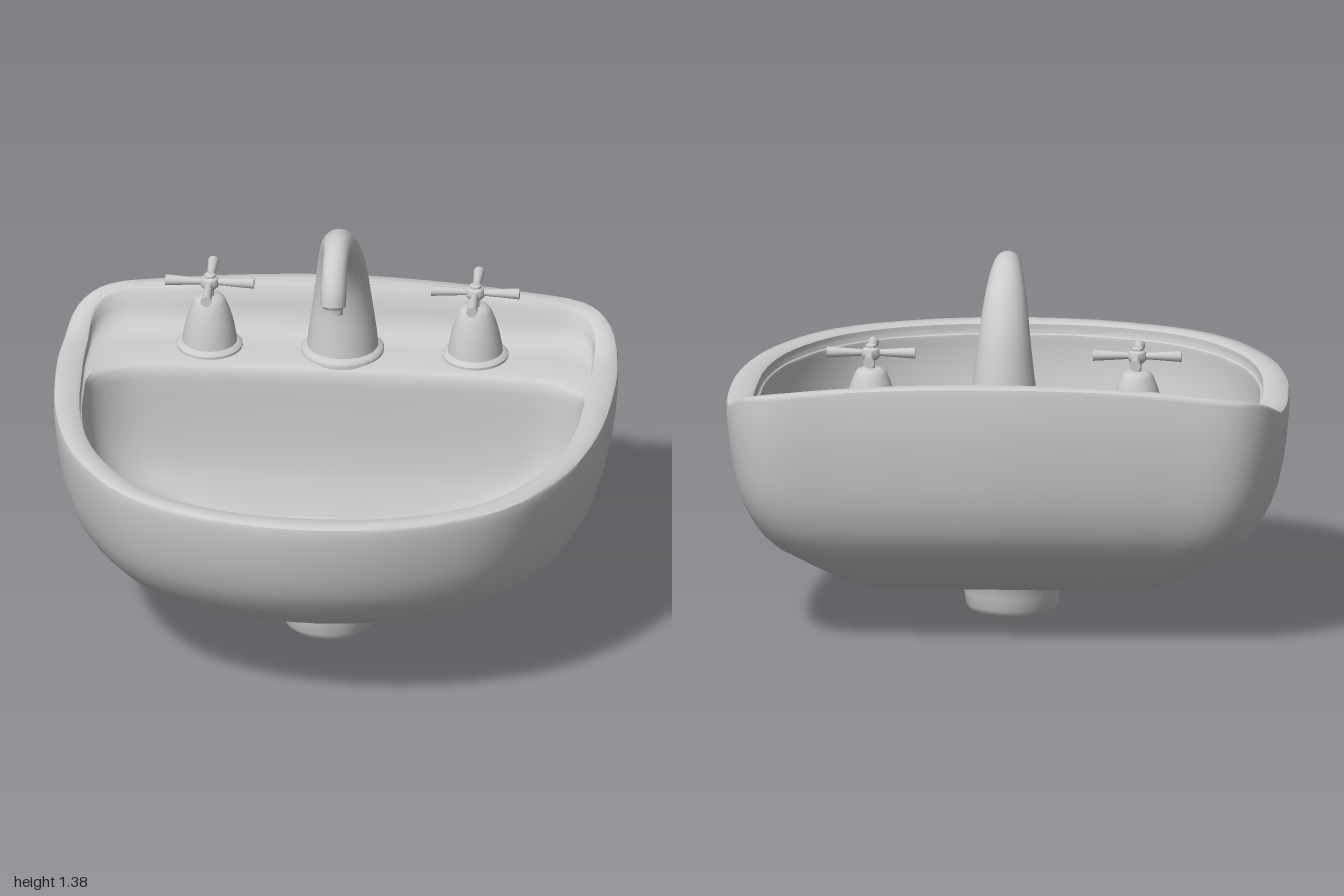
import * as THREE from 'three';
import { toCreasedNormals } from 'three/addons/utils/BufferGeometryUtils.js';

const material = new THREE.MeshStandardMaterial({ color: 0xcccccc });
const V = (x, y, z) => new THREE.Vector3(x, y, z);
const SAMPLES = 88;

function add(parent, name, geometry, x = 0, y = 0, z = 0) {
  const mesh = new THREE.Mesh(geometry, material);
  mesh.name = name;
  mesh.position.set(x, y, z);
  parent.add(mesh);
  return mesh;
}

// Skin a list of closed rings that all have the same number of points
function loft(rings, crease = 0.7) {
  const n = rings[0].length, index = [];
  for (let r = 0; r < rings.length - 1; r++) {
    for (let i = 0; i < n; i++) {
      const a = r * n + i, a2 = r * n + (i + 1) % n, b = a + n, b2 = a2 + n;
      index.push(a, b2, b, a, a2, b2);
    }
  }
  const geometry = new THREE.BufferGeometry().setFromPoints(rings.flat());
  geometry.setIndex(index);
  return toCreasedNormals(geometry, crease);
}

// Half outline [x, z] from back to front, mirrored and smoothed to a closed loop
function outline(half) {
  const pts = half.map(([x, z]) => V(x, 0, z));
  for (let i = half.length - 2; i > 0; i--) pts.push(V(-half[i][0], 0, half[i][1]));
  const curve = new THREE.CatmullRomCurve3(pts, true);
  return Array.from({ length: SAMPLES }, (_, i) => curve.getPoint(i / SAMPLES));
}

const drainZ = -0.07;
const circle = (r, y) => Array.from({ length: SAMPLES }, (_, i) => {
  const t = i / SAMPLES * Math.PI * 2;
  return V(r * Math.sin(t), y, drainZ - r * Math.cos(t));
});

// The rim sweeps up towards the middle of the back
const raise = p => 0.14 * (1 - 0.5 * p.x * p.x) * THREE.MathUtils.smoothstep(-p.z, 0.52, 0.8);

// Blend two outlines at height y, with a share of the raised back
const blend = (a, b, t, y, lift = 0) => a.map((p, i) => {
  const q = p.clone().lerp(b[i], t);
  q.y = y + lift * raise(q);
  return q;
});

function basinGeometry() {
  const rim = outline([[0, -0.85], [0.3, -0.84], [0.6, -0.825], [0.85, -0.8], [0.955, -0.7], [0.995, -0.5],
    [1, -0.3], [0.97, 0.04], [0.88, 0.34], [0.68, 0.63], [0.36, 0.79], [0, 0.845]]);
  const underside = outline([[0, -0.48], [0.2, -0.48], [0.38, -0.48], [0.48, -0.46], [0.52, -0.42], [0.53, -0.34],
    [0.52, -0.22], [0.46, -0.08], [0.38, 0], [0.25, 0.07], [0.12, 0.11], [0, 0.12]]);
  const inner = outline([[0, -0.75], [0.3, -0.748], [0.6, -0.745], [0.83, -0.735], [0.89, -0.67], [0.905, -0.5],
    [0.905, -0.3], [0.88, 0.05], [0.8, 0.32], [0.62, 0.57], [0.35, 0.71], [0, 0.755]]);
  const lip = outline([[0, -0.455], [0.3, -0.455], [0.6, -0.445], [0.76, -0.42], [0.85, -0.36], [0.885, -0.3],
    [0.89, -0.22], [0.87, 0.05], [0.79, 0.315], [0.613, 0.563], [0.346, 0.702], [0, 0.747]]);
  const floor = outline([[0, -0.38], [0.18, -0.38], [0.34, -0.37], [0.42, -0.35], [0.46, -0.31], [0.47, -0.25],
    [0.46, -0.15], [0.42, -0.02], [0.35, 0.06], [0.24, 0.11], [0.12, 0.14], [0, 0.15]]);
  // Shared wall curve: [height fraction, outward fraction]
  const wall = [[0, 0], [0.05, 0.17], [0.125, 0.36], [0.24, 0.63], [0.31, 0.74], [0.39, 0.82], [0.47, 0.88],
    [0.56, 0.925], [0.67, 0.96], [0.8, 0.985], [0.92, 1]];

  const rings = [circle(0, 0.215), circle(0.15, 0.215), circle(0.152, 0.232)];
  // Bowl, deck at the back, and rim
  rings.push(blend(circle(0.152, 0), floor, 0.5, 0.238));
  for (const [h, f] of wall) rings.push(blend(floor, lip, f, 0.25 + h * 0.54));
  rings.push(
    blend(inner, lip, 0.985, 0.785), blend(inner, lip, 0.95, 0.798), blend(inner, lip, 0.88, 0.806),
    blend(inner, lip, 0.5, 0.808), blend(inner, lip, 0.2, 0.812, 0.05), blend(inner, lip, 0.1, 0.82, 0.2),
    blend(inner, lip, 0.04, 0.83, 0.6), blend(inner, lip, 0, 0.843, 0.95),
    blend(inner, rim, 0.12, 0.849, 1), blend(inner, rim, 0.5, 0.851, 1),
    blend(inner, rim, 0.88, 0.849, 1), blend(inner, rim, 0.97, 0.843, 1), blend(inner, rim, 1, 0.83, 1));
  // Outer wall down to the drain stub
  for (const [h, f] of wall.slice().reverse()) rings.push(blend(underside, rim, f, 0.165 + h * 0.685));
  rings.push(blend(circle(0.21, 0), underside, 0.15, 0.163));
  for (const [r, y] of [[0.2, 0.15], [0.183, 0.12], [0.172, 0.07], [0.165, 0.025], [0.155, 0.006], [0.142, 0],
    [0.125, 0.004], [0.115, 0.02], [0.11, 0.15], [0, 0.15]]) rings.push(circle(r, y));
  return loft(rings);
}

// Swan-neck spout: the x of each control point holds the radius
function spoutGeometry() {
  const path = new THREE.CatmullRomCurve3([V(0.13, 0.8, -0.62), V(0.122, 0.88, -0.62), V(0.106, 1, -0.613),
    V(0.092, 1.12, -0.588), V(0.076, 1.24, -0.525), V(0.06, 1.31, -0.45), V(0.048, 1.333, -0.375),
    V(0.045, 1.3, -0.29), V(0.046, 1.235, -0.24), V(0.045, 1.185, -0.225)]);
  const rings = [], sides = 24, steps = 40;
  const ring = (r, c, t) => Array.from({ length: sides }, (_, i) => {
    const a = i / sides * Math.PI * 2, s = r * Math.sin(a);
    return V(r * Math.cos(a), c.y + s * t.z, c.z - s * t.y);
  });
  for (let i = 0; i <= steps; i++) {
    const p = path.getPoint(i / steps), t = path.getTangent(i / steps).setX(0).normalize();
    rings.push(ring(p.x, p, t));
  }
  // Nozzle
  const end = path.getPoint(1), down = V(0, -1, 0.15).normalize();
  for (const [r, d] of [[0.035, 0.006], [0.035, 0.028], [0.026, 0.028], [0.026, 0.015], [0, 0.015]]) {
    rings.push(ring(r, end.clone().addScaledVector(down, d), down));
  }
  return loft(rings);
}

const lathe = profile => toCreasedNormals(
  new THREE.LatheGeometry(profile.map(([r, y]) => new THREE.Vector2(r, y)), 28), 0.7);

function createTap(name, x) {
  const tap = new THREE.Group();
  tap.name = name;
  tap.position.set(x, 0, -0.61);
  add(tap, 'tapBell', lathe([[0.118, 0.8], [0.118, 0.815], [0.11, 0.824], [0.098, 0.828], [0.095, 0.85],
    [0.086, 0.9], [0.072, 0.95], [0.058, 0.985], [0.05, 0.998], [0.035, 1.004], [0, 1.005]]));
  add(tap, 'tapStem', new THREE.CylinderGeometry(0.015, 0.015, 0.06, 16), 0, 1.025, 0);
  add(tap, 'tapHub', lathe([[0, 1.035], [0.022, 1.035], [0.032, 1.045], [0.034, 1.06], [0.03, 1.074],
    [0.02, 1.08], [0.02, 1.088], [0.014, 1.092], [0, 1.092]]));
  // Four arms, wider towards the tips
  for (let i = 0; i < 4; i++) {
    const arm = new THREE.Group();
    arm.name = 'tapArm';
    arm.rotation.y = i * Math.PI / 2;
    const bar = add(arm, 'armBar', new THREE.CylinderGeometry(0.011, 0.02, 0.14, 14), 0.088, 1.06, 0);
    bar.rotation.z = Math.PI / 2;
    tap.add(arm);
  }
  return tap;
}

export function createModel() {
  const sink = new THREE.Group();
  sink.name = 'washbasin';
  add(sink, 'basin', basinGeometry());
  add(sink, 'spout', spoutGeometry());
  add(sink, 'spoutFlange', lathe([[0.148, 0.8], [0.148, 0.815], [0.14, 0.825], [0.12, 0.83]]), 0, 0, -0.615);
  sink.add(createTap('leftTap', 0.475), createTap('rightTap', -0.475));
  return sink;
}
